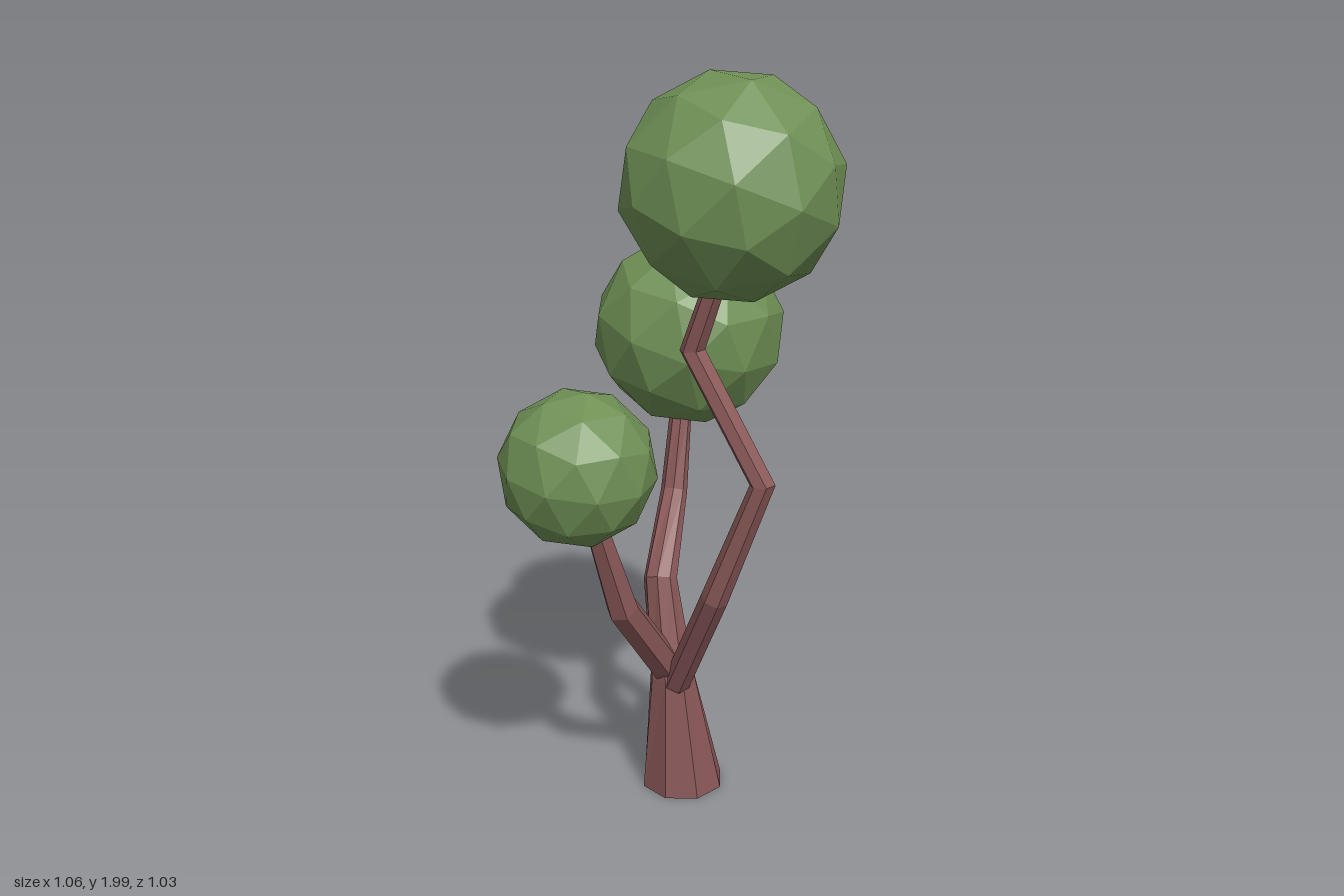
import * as THREE from 'three';

const wood = new THREE.MeshStandardMaterial({ color: 0x8a5858, flatShading: true });
const leaf = new THREE.MeshStandardMaterial({ color: 0x6f9055, flatShading: true });

// Faceted, tapering limb through rings given as [x, y, z, radius]; both ends capped
function limb(name, rings, sides, level = false, twist = 0) {
  const points = rings.map(([x, y, z]) => new THREE.Vector3(x, y, z));
  const up = new THREE.Vector3(0, 1, 0);
  const positions = [];
  const index = [];
  rings.forEach((ring, i) => {
    // Each ring is mitred to the average of its neighbouring segments
    const a = points[Math.max(i - 1, 0)];
    const b = points[i];
    const c = points[Math.min(i + 1, points.length - 1)];
    const dir = b.clone().sub(a).normalize().add(c.clone().sub(b).normalize()).normalize();
    if (level && i === 0) dir.copy(up);
    const turn = new THREE.Quaternion().setFromUnitVectors(up, dir);
    for (let s = 0; s < sides; s++) {
      const t = ((s + 0.5) / sides) * Math.PI * 2 + twist * i;
      const v = new THREE.Vector3(Math.sin(t), 0, Math.cos(t)).multiplyScalar(ring[3]);
      positions.push(...v.applyQuaternion(turn).add(b).toArray());
      if (i > 0) {
        const n = (s + 1) % sides;
        const lo = (i - 1) * sides;
        const hi = i * sides;
        index.push(lo + s, lo + n, hi + n, lo + s, hi + n, hi + s);
      }
    }
  });
  const top = (rings.length - 1) * sides;
  for (let s = 1; s < sides - 1; s++) {
    index.push(0, s + 1, s, top, top + s, top + s + 1);
  }
  const geometry = new THREE.BufferGeometry();
  geometry.setAttribute('position', new THREE.Float32BufferAttribute(positions, 3));
  geometry.setIndex(index);
  geometry.computeVertexNormals();
  const mesh = new THREE.Mesh(geometry, wood);
  mesh.name = name;
  return mesh;
}

// Low-poly ball of leaves
function foliage(name, x, y, z, radius, rotation) {
  const mesh = new THREE.Mesh(new THREE.IcosahedronGeometry(radius, 1), leaf);
  mesh.position.set(x, y, z);
  mesh.rotation.set(...rotation);
  mesh.name = name;
  return mesh;
}

export function createModel() {
  const tree = new THREE.Group();
  tree.name = 'tree';

  // Flared trunk running on into the left branch
  tree.add(limb('trunk', [
    [0.035, 0, -0.04, 0.117],
    [-0.003, 0.35, -0.04, 0.063],
    [0.0, 0.62, -0.09, 0.046],
    [0.165, 0.8, -0.21, 0.037],
    [0.215, 1.02, -0.235, 0.03],
    [0.24, 1.12, -0.245, 0.026],
  ], 8, true, 0.12));

  // Tall crooked branch leaning forward
  tree.add(limb('frontBranch', [
    [-0.02, 0.34, -0.005, 0.037],
    [-0.065, 0.67, 0.185, 0.036],
    [-0.015, 1.0, 0.3, 0.033],
    [-0.075, 1.32, 0.112, 0.033],
    [-0.06, 1.53, 0.19, 0.027],
  ], 6));

  // Short branch to the right
  tree.add(limb('rightBranch', [
    [-0.01, 0.36, -0.04, 0.046],
    [-0.205, 0.62, -0.012, 0.044],
    [-0.285, 0.86, -0.012, 0.032],
    [-0.31, 0.94, -0.02, 0.028],
  ], 6));

  tree.add(foliage('frontFoliage', -0.085, 1.735, 0.252, 0.268, [0.3, 0.4, 0.15]));
  tree.add(foliage('leftFoliage', 0.265, 1.245, -0.255, 0.268, [0.5, 1.1, 0.3]));
  tree.add(foliage('rightFoliage', -0.333, 1.04, -0.028, 0.2, [0.2, 0.8, 0.5]));
  return tree;
}
